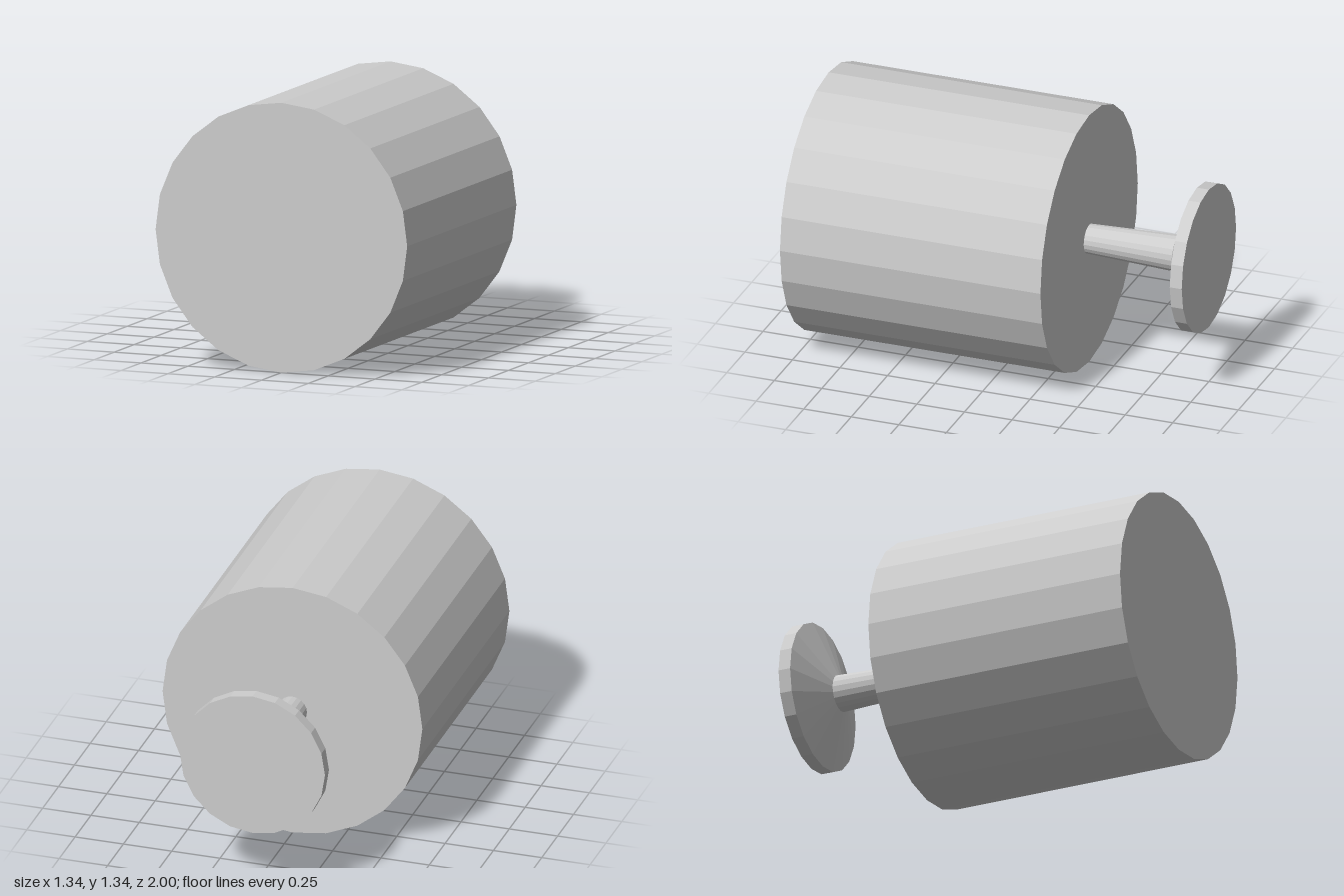
import * as THREE from 'three';

export function createModel() {
  const model = new THREE.Group();
  const grey = new THREE.MeshStandardMaterial({ color: 0xcccccc, flatShading: true });
  grey.name = 'light grey';
  const axisY = 0.672;

  // Faceted round section along z, from its front end to its back end
  function section(name, frontRadius, backRadius, frontZ, backZ, sides, open = false) {
    const geometry = new THREE.CylinderGeometry(frontRadius, backRadius, frontZ - backZ, sides, 1, open);
    geometry.rotateX(Math.PI / 2);
    const mesh = new THREE.Mesh(geometry, grey);
    mesh.name = name;
    mesh.position.set(0, axisY, (frontZ + backZ) / 2);
    model.add(mesh);
  }

  // Main drum
  section('body', 0.672, 0.672, 1, -0.37, 24);
  // Stem widening towards the mounting plate
  section('stem', 0.075, 0.093, -0.37, -0.84, 20, true);
  // Flared collar and round mounting plate
  section('plateFlare', 0.093, 0.375, -0.84, -0.937, 20, true);
  const rim = new THREE.CylinderGeometry(0.375, 0.375, 0.063, 20);
  rim.rotateX(Math.PI / 2);
  const plate = new THREE.Mesh(rim, grey);
  plate.name = 'mountingPlate';
  plate.position.set(0, axisY, -0.9685);
  model.add(plate);

  return model;
}
